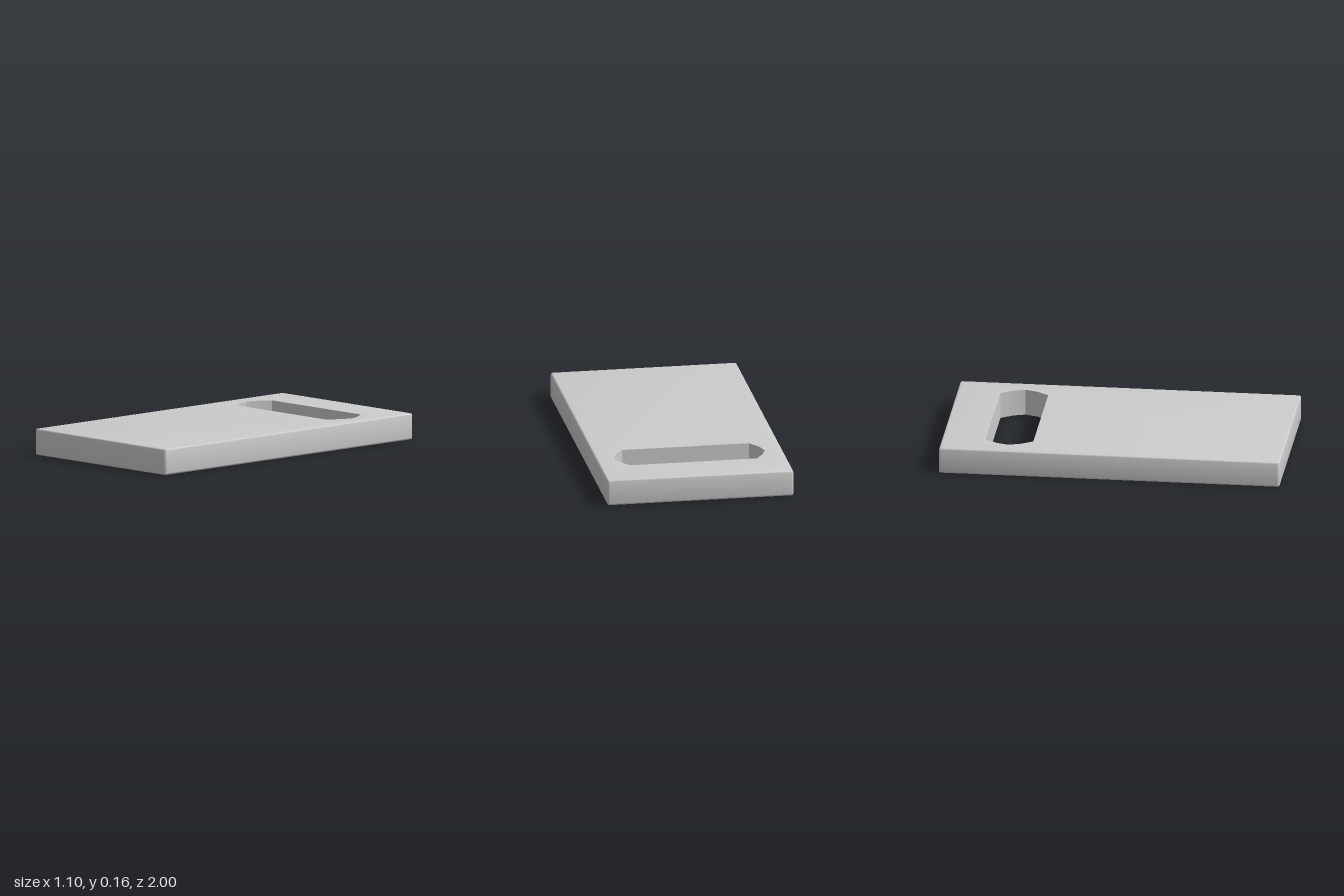
import * as THREE from 'three';
import { toCreasedNormals } from 'three/addons/utils/BufferGeometryUtils.js';

const W = 1.1, H = 0.155, L = 2, EDGE = 0.012, CORNER = 0.014;
const SLOT_Z = -0.605;

// Slot outline: straight long sides with faceted rounded ends
function slotPoints() {
  const end = [[0.375, -0.14], [0.423, -0.068], [0.445, 0], [0.423, 0.068], [0.375, 0.14]];
  return [...end, ...end.map(([x, y]) => [-x, -y])]
    .map(([x, y]) => new THREE.Vector2(x, y - SLOT_Z));
}

// Board outline with slightly rounded corners
function boardOutline() {
  const shape = new THREE.Shape();
  const x = W / 2 - CORNER, y = L / 2 - CORNER;
  [[x, y], [-x, y], [-x, -y], [x, -y]].forEach(([cx, cy], i) => {
    shape.absarc(cx, cy, CORNER, i * Math.PI / 2, (i + 1) * Math.PI / 2, false);
  });
  return shape;
}

export function createModel() {
  const group = new THREE.Group();
  group.name = 'slottedBoard';

  const slot = slotPoints();
  const shape = boardOutline();
  shape.holes.push(new THREE.Path(slot));
  const geo = new THREE.ExtrudeGeometry(shape, {
    depth: H - 2 * EDGE, bevelEnabled: true, bevelThickness: EDGE,
    bevelSize: EDGE, bevelOffset: -EDGE, bevelSegments: 3, curveSegments: 3,
  });

  // Only the outer edges are rounded: snap the slot walls straight
  const pos = geo.attributes.position;
  const p = new THREE.Vector2();
  for (let i = 0; i < pos.count; i++) {
    p.set(pos.getX(i), pos.getY(i));
    const near = slot.find((s) => s.distanceTo(p) < 0.03);
    if (near) pos.setXY(i, near.x, near.y);
  }

  // Lay the board flat on the ground
  geo.rotateX(-Math.PI / 2);
  geo.translate(0, EDGE, 0);

  const board = new THREE.Mesh(
    toCreasedNormals(geo, 0.6),
    new THREE.MeshStandardMaterial({ color: 0xcccccc }),
  );
  board.name = 'board';
  group.add(board);
  return group;
}
